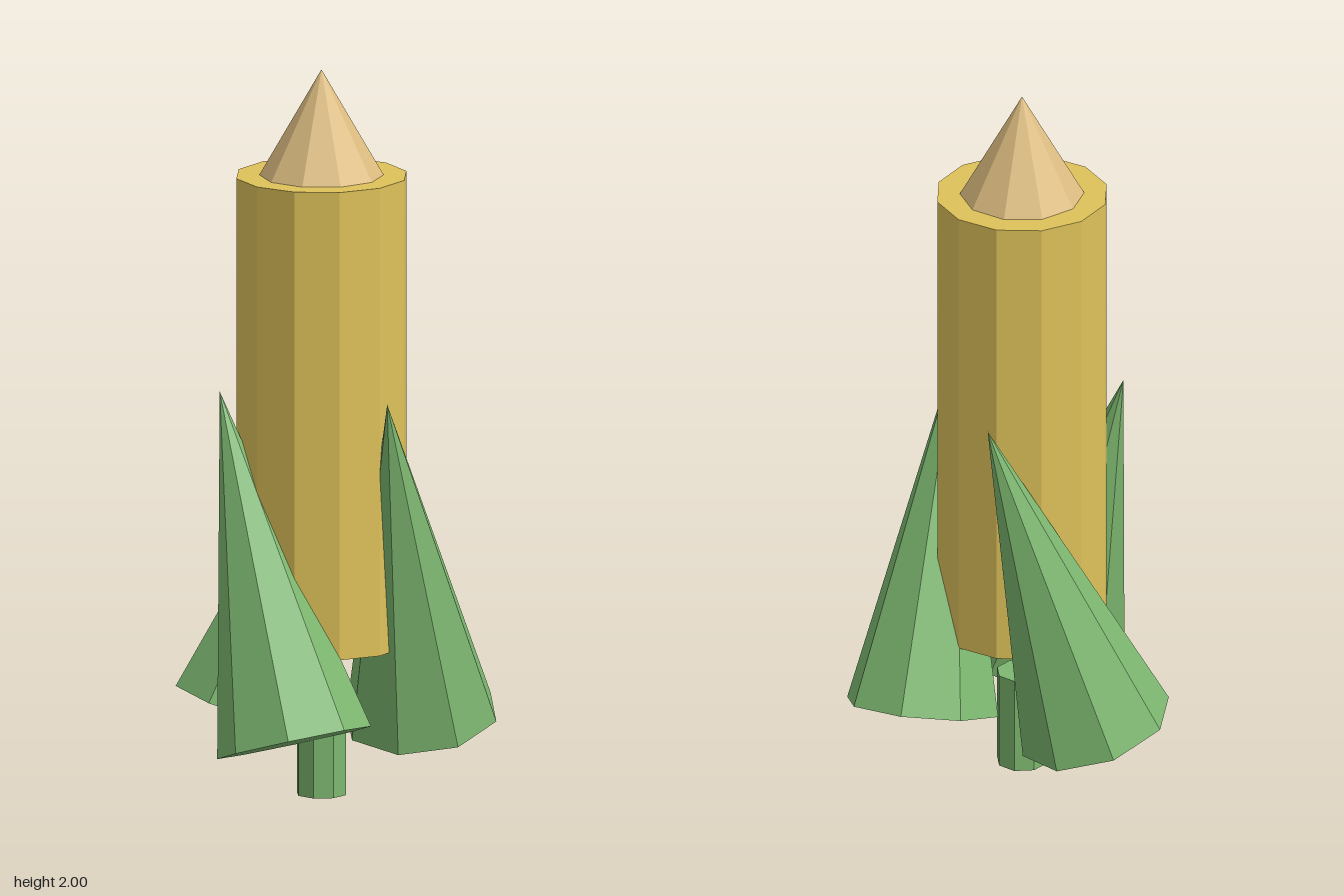
import * as THREE from 'three';

export function createModel() {
  const paint = (name, color) => {
    const m = new THREE.MeshStandardMaterial({ color, flatShading: true });
    m.name = name;
    return m;
  };
  const gold = paint('gold', 0xdfc25b);
  const tan = paint('tan', 0xdebe82);
  const green = paint('green', 0x7db870);

  const model = new THREE.Group();
  model.name = 'rocket';

  // everything is arranged around the rocket's long axis
  const rocket = new THREE.Group();
  rocket.name = 'rocketAxis';
  rocket.position.z = -0.065;
  model.add(rocket);

  const add = (name, geometry, material, y, parent = rocket) => {
    const mesh = new THREE.Mesh(geometry, material);
    mesh.name = name;
    mesh.position.y = y;
    parent.add(mesh);
    return mesh;
  };

  // hull, nose and exhaust nozzle
  add('body', new THREE.CylinderGeometry(0.235, 0.235, 1.292, 12), gold, 1.063);
  add('noseCone', new THREE.ConeGeometry(0.168, 0.291, 10), tan, 1.8545);
  add('nozzle', new THREE.CylinderGeometry(0.07, 0.07, 0.27, 8), green, 0.135);

  // three leaning conical fins, a third of a turn apart
  const finGeometry = new THREE.ConeGeometry(0.213, 0.97, 8);
  for (let i = 0; i < 3; i++) {
    const mount = new THREE.Group();
    mount.name = 'finMount' + (i + 1);
    mount.rotation.y = (i * Math.PI * 2) / 3;
    rocket.add(mount);
    const fin = add('fin' + (i + 1), finGeometry, green, 0.659, mount);
    fin.position.x = 0.235;
    fin.rotation.x = Math.PI / 10;
  }

  return model;
}
